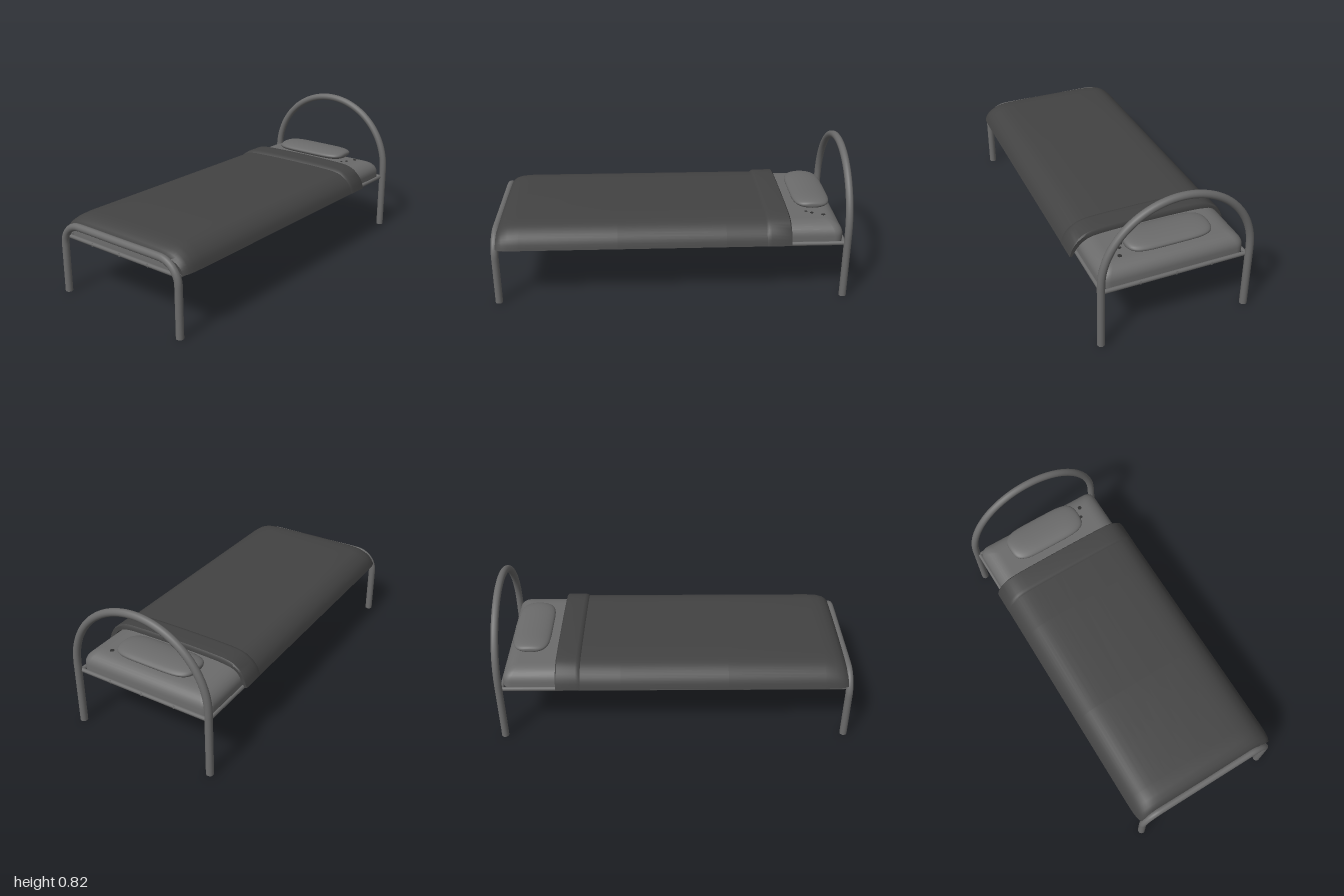
import * as THREE from 'three';
import { toCreasedNormals } from 'three/addons/utils/BufferGeometryUtils.js';

const grey = new THREE.MeshStandardMaterial({ color: 0x6b6b6b });
grey.name = 'grey';
const charcoal = new THREE.MeshStandardMaterial({ color: 0x434343 });
charcoal.name = 'charcoal';
const stainDark = new THREE.MeshStandardMaterial({ color: 0x303030 });
stainDark.name = 'stain dark';

const CX = -0.01; // centre line of the frame
const V = (x, y, z) => new THREE.Vector3(x, y, z);

function add(parent, name, geometry, material) {
  const mesh = new THREE.Mesh(geometry, material);
  mesh.name = name;
  parent.add(mesh);
  return mesh;
}

// Skin over closed rings, capped at both ends by strips
function loft(rings, crease = 0.7) {
  const n = rings[0].length, index = [];
  for (let k = 0; k < rings.length - 1; k++) {
    for (let i = 0; i < n; i++) {
      const a = k * n + i, b = k * n + (i + 1) % n;
      index.push(a, a + n, b, b, a + n, b + n);
    }
  }
  const last = (rings.length - 1) * n;
  for (let i = 0; i < n / 2 - 1; i++) {
    const p = i, p1 = i + 1, q = n - 1 - i, q1 = n - 2 - i;
    index.push(last + p, last + q, last + p1, last + p1, last + q, last + q1);
    index.push(p, p1, q, p1, q1, q);
  }
  const g = new THREE.BufferGeometry().setFromPoints(rings.flat());
  g.setIndex(index);
  return toCreasedNormals(g, crease);
}

// Bent tube from the floor up, over and down again, with an arc at each corner
function hoop(parent, name, z, half, straight, rx, ry) {
  const pts = [V(CX - half, 0, z), V(CX - half, straight * 0.5, z), V(CX - half, straight * 0.9, z)];
  const arc = (cx, from, to) => {
    for (let i = 0; i <= 10; i++) {
      const t = from + (to - from) * i / 10;
      pts.push(V(cx + rx * Math.cos(t), straight + ry * Math.sin(t), z));
    }
  };
  arc(CX - half + rx, Math.PI, Math.PI / 2);
  if (half - rx < 0.001) pts.pop();
  else pts.push(V(CX, straight + ry, z));
  arc(CX + half - rx, Math.PI / 2, 0);
  pts.push(V(CX + half, straight * 0.9, z), V(CX + half, straight * 0.5, z), V(CX + half, 0, z));
  const curve = new THREE.CatmullRomCurve3(pts, false, 'centripetal');
  add(parent, name, new THREE.TubeGeometry(curve, 80, 0.021, 14), grey);
  for (const s of [-1, 1]) {
    const foot = add(parent, 'legEnd', new THREE.CircleGeometry(0.021, 14), grey);
    foot.rotation.x = Math.PI / 2;
    foot.position.set(CX + s * half, 0, z);
  }
}

// Rounded rectangle in plan at height y
function planRing(halfX, halfZ, r, y) {
  const pts = [];
  [[1, 1], [-1, 1], [-1, -1], [1, -1]].forEach(([sx, sz], c) => {
    for (let i = 0; i <= 6; i++) {
      const t = (c + i / 6) * Math.PI / 2;
      pts.push(V(CX + sx * (halfX - r) + r * Math.cos(t), y, sz * (halfZ - r) + r * Math.sin(t)));
    }
  });
  return pts;
}

// Draped cover section: outer line left to right, then the lining back
const spline = (list) => new THREE.SplineCurve(list.map(([x, y]) => new THREE.Vector2(x, y))).getPoints(16);
const outer = spline([[0, 0.468], [0.2, 0.466], [0.33, 0.459], [0.39, 0.435], [0.43, 0.395], [0.45, 0.345]]);
const inner = spline([[0, 0.449], [0.2, 0.447], [0.32, 0.44], [0.375, 0.418], [0.41, 0.385], [0.437, 0.342]]);
const mirrored = (half) => [...half.slice(1).reverse().map((p) => new THREE.Vector2(-p.x, p.y)), ...half];
const section = [...mirrored(outer), ...mirrored(inner).reverse()];
const coverRing = ([z, lift, widen]) =>
  section.map((p) => V(p.x * widen, p.y + lift * (p.y - 0.345) / 0.123, z));

export function createModel() {
  const model = new THREE.Group();
  model.name = 'bed';

  // Tubular frame
  const frame = new THREE.Group();
  frame.name = 'frame';
  model.add(frame);
  hoop(frame, 'headboardHoop', -0.979, 0.418, 0.382, 0.418, 0.418);
  hoop(frame, 'footboardHoop', 0.979, 0.418, 0.285, 0.12, 0.12);
  for (let i = -2; i <= 2; i++) {
    const r = Math.abs(i) === 2 ? 0.012 : 0.01;
    const rail = add(frame, 'lengthwiseRail', new THREE.CylinderGeometry(r, r, 1.95, 10), grey);
    rail.rotation.x = Math.PI / 2;
    rail.position.set(CX + i * 0.203, 0.329, 0);
  }
  for (const s of [-1, 1]) {
    const bar = add(frame, 'endRail', new THREE.CylinderGeometry(0.012, 0.012, 0.82, 10), grey);
    bar.rotation.z = Math.PI / 2;
    bar.position.set(CX, 0.329, s * 0.965);
  }

  // Mattress: flat base, upright sides and a softly rounded top edge
  const rings = [planRing(0.405, 0.96, 0.05, 0.335)];
  for (let i = 0; i <= 8; i++) {
    const t = i / 8 * Math.PI / 2;
    const inset = 0.09 * (1 - Math.cos(t));
    rings.push(planRing(0.405 - inset, 0.96 - inset, 0.05 - inset * 0.4, 0.37 + 0.072 * Math.sin(t)));
  }
  add(model, 'mattress', loft(rings), grey);

  // Pillow: rounded cylinder flattened to an oval section
  const profile = [];
  for (let i = 0; i <= 32; i++) {
    const t = -Math.PI / 2 + i / 32 * Math.PI;
    const c = Math.max(0, Math.cos(t)), s = Math.sin(t);
    profile.push(new THREE.Vector2(0.107 * Math.pow(c, 0.65), 0.24 * Math.sign(s) * Math.pow(Math.abs(s), 0.4)));
  }
  const pillowShape = new THREE.LatheGeometry(profile, 28);
  pillowShape.rotateZ(Math.PI / 2).scale(1, 0.29, 1);
  add(model, 'pillow', pillowShape, grey).position.set(-0.02, 0.479, -0.815);

  // Blanket with its foot end turned down, and the folded-back band
  const blanketRows = [[-0.65, 0, 1], [-0.3, 0, 1], [0.3, 0, 1], [0.84, 0, 1], [0.9, -0.005, 0.998],
    [0.935, -0.016, 0.99], [0.955, -0.03, 0.98], [0.97, -0.05, 0.962]];
  add(model, 'blanket', loft(blanketRows.map(coverRing)), charcoal);
  const foldRows = [[-0.662, 0.004, 1], [-0.655, 0.014, 1.003], [-0.55, 0.014, 1.003],
    [-0.535, 0.011, 1.003], [-0.525, 0, 1]];
  add(model, 'blanketFold', loft(foldRows.map(coverRing)), charcoal);

  // Small stains on the top and underside of the mattress
  const stain = (x, y, z, rx, rz) => {
    const spot = add(model, 'stain', new THREE.CylinderGeometry(1, 1, 0.003, 9), stainDark);
    spot.scale.set(rx, 1, rz);
    spot.position.set(x, y, z);
  };
  [[0.26, -0.865, 0.012], [0.235, -0.805, 0.01], [0.215, -0.775, 0.008]]
    .forEach(([x, z, r]) => stain(x, 0.442, z, r, r));
  [[-0.326, -0.3, 0.035, 0.07], [-0.297, 0.647, 0.035, 0.07], [-0.15, -0.345, 0.015, 0.015],
    [-0.15, 0.614, 0.015, 0.015], [0.06, -0.727, 0.015, 0.015], [0.2, 0.22, 0.015, 0.025]]
    .forEach(([x, z, rx, rz]) => stain(x, 0.3345, z, rx, rz));

  return model;
}
